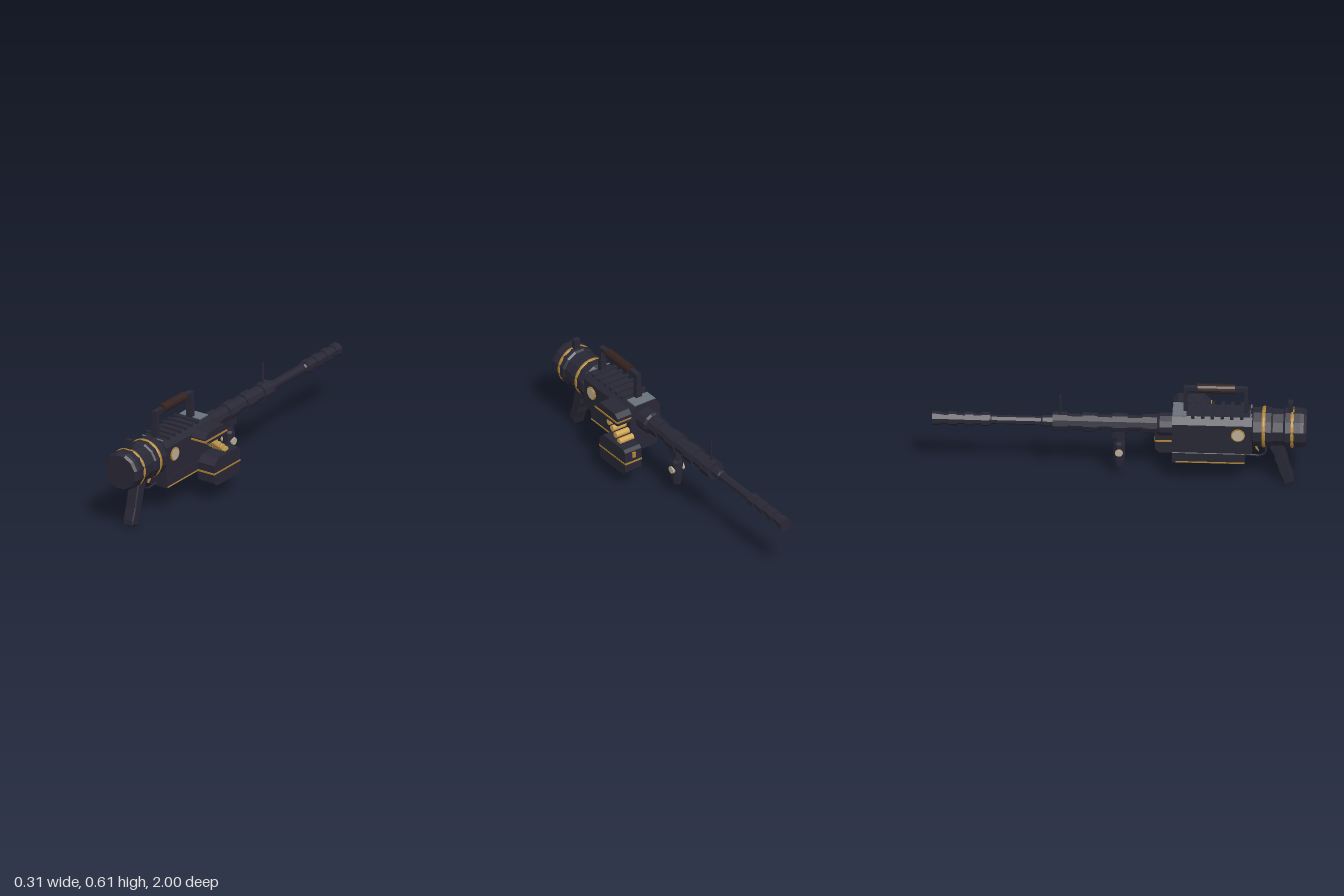
import * as THREE from 'three';

const mat = (name, color) => Object.assign(new THREE.MeshStandardMaterial({ color }), { name });

export function createModel() {
  const gunmetal = mat('gunmetal', 0x282735);
  const gold = mat('gold', 0xae8236);
  const brass = mat('brass', 0xd0a552);
  const brown = mat('brown grip', 0x332220);
  const steel = mat('steel', 0x69727c);
  const ivory = mat('ivory', 0xbbad95);

  const CX = -0.048, CY = 0.348; // barrel axis
  const root = new THREE.Group();

  // Adds a mesh, flat-faceted unless smooth
  const add = (name, geo, material, x = 0, y = 0, z = 0, smooth = false) => {
    const shaped = geo.index && !smooth ? geo.toNonIndexed() : geo;
    if (!smooth) shaped.computeVertexNormals();
    const mesh = new THREE.Mesh(shaped, material);
    mesh.name = name;
    mesh.position.set(x, y, z);
    root.add(mesh);
  };
  const box = (name, m, x0, x1, y0, y1, z0, z1) =>
    add(name, new THREE.BoxGeometry(x1 - x0, y1 - y0, z1 - z0), m, (x0 + x1) / 2, (y0 + y1) / 2, (z0 + z1) / 2);
  // Lathe about the barrel axis; profile is [radius to flat, z], z rising
  const turned = (name, m, profile, sides) => {
    const k = 1 / Math.cos(Math.PI / sides);
    const pts = profile.map(([r, z]) => new THREE.Vector2(r * k, z));
    add(name, new THREE.LatheGeometry(pts, sides, Math.PI / sides).rotateX(Math.PI / 2), m, CX, CY, 0);
  };
  const shape = (pts) => new THREE.Shape(pts.map(([a, b]) => new THREE.Vector2(a, b)));
  // Extrude an [x, y] profile along z
  const alongZ = (name, m, pts, z0, z1) =>
    add(name, new THREE.ExtrudeGeometry(shape(pts), { depth: z1 - z0, bevelEnabled: false }), m, 0, 0, z0);
  // Extrude a [z, y] profile along x, with optional bevel
  const alongX = (name, m, pts, x0, x1, b = 0) =>
    add(name, new THREE.ExtrudeGeometry(shape(pts), {
      depth: x1 - x0 - 2 * b, bevelEnabled: b > 0, bevelSize: b, bevelOffset: -b, bevelThickness: b, bevelSegments: 1,
    }).rotateY(-Math.PI / 2), m, x1 - b, 0, 0);

  // Rear drum and its round gold bands
  turned('rearDrum', gunmetal, [
    [0, 0.69], [0.09, 0.69], [0.105, 0.715], [0.105, 0.81], [0.098, 0.82], [0.098, 0.875],
    [0.1063, 0.885], [0.1063, 0.965], [0.103, 0.985], [0.093, 1], [0, 1],
  ], 12);
  for (const z of [0.77, 0.922]) {
    turned('drumBand', gold, [[0.09, z - 0.01], [0.107, z - 0.01], [0.11, z - 0.004],
      [0.11, z + 0.004], [0.107, z + 0.01], [0.09, z + 0.01]], 28);
  }
  box('rearSight', gunmetal, CX - 0.018, CX + 0.018, 0.44, 0.51, 0.9, 0.925);

  // Receiver with sloped shoulders
  alongZ('receiver', gunmetal, [
    [-0.145, 0.233], [0.049, 0.233], [0.049, 0.405], [0.014, 0.441], [-0.11, 0.441], [-0.145, 0.405],
  ], 0.283, 0.71);
  box('topPlate', steel, CX - 0.066, CX + 0.066, 0.438, 0.445, 0.284, 0.358);
  box('rearTopEdge', steel, CX - 0.066, CX + 0.066, 0.438, 0.444, 0.698, 0.706);
  for (let i = 0; i < 6; i++) {
    const z = 0.393 + i * 0.052;
    box('coolingRib', gunmetal, CX - 0.077, CX + 0.077, 0.434, 0.451, z - 0.009, z + 0.009);
  }
  // Lower housing and gold trim
  alongZ('lowerHousing', gunmetal, [
    [-0.125, 0.155], [0.028, 0.155], [0.028, 0.215], [0.006, 0.235], [-0.102, 0.235], [-0.125, 0.215],
  ], 0.283, 0.67);
  box('housingTrim', gold, -0.128, 0.031, 0.158, 0.165, 0.3, 0.668);

  // Side medallions
  for (const [x, s] of [[0.049, 1], [-0.145, -1]]) {
    const disc = (name, m, r, t) =>
      add(name, new THREE.CylinderGeometry(r, r, t, 12).rotateZ(Math.PI / 2), m, x + s * t / 2, 0.35, 0.635);
    disc('medallionRim', gold, 0.038, 0.006);
    disc('medallionFace', ivory, 0.032, 0.008);
  }

  // Barrel collar, ringed jacket, thin barrel and muzzle
  turned('barrelCollar', gunmetal, [[0, 0.2], [0.053, 0.2], [0.061, 0.215], [0.061, 0.285], [0, 0.285]], 12);
  turned('barrelJacket', gunmetal, [[0, -0.35], [0.041, -0.35], [0.041, 0.21], [0, 0.21]], 10);
  for (let i = 0; i < 4; i++) {
    const z = 0.163 - i * 0.16;
    turned('jacketRing', gunmetal, [[0.03, z - 0.04], [0.05, z - 0.04], [0.05, z + 0.04], [0.03, z + 0.04]], 10);
  }
  turned('barrel', gunmetal, [[0, -0.995], [0.028, -0.995], [0.028, -0.69], [0.023, -0.68], [0.023, -0.42],
    [0.028, -0.41], [0.028, -0.34], [0, -0.34]], 8);
  for (let i = 0; i < 4; i++) {
    const z = -0.977 + i * 0.0875;
    turned('muzzleRing', gunmetal, [[0, z - 0.023], [0.035, z - 0.023], [0.035, z + 0.023], [0, z + 0.023]], 8);
  }
  add('frontSight', new THREE.CylinderGeometry(0.006, 0.006, 0.12, 6), gunmetal, CX, 0.452, -0.317);

  // Carry handle
  for (const z of [0.352, 0.675]) {
    box('handlePost', gunmetal, CX - 0.016, CX + 0.016, 0.43, 0.588, z - 0.01, z + 0.01);
    box('handleFoot', gunmetal, CX - 0.018, CX + 0.018, 0.43, 0.51, z - 0.012, z + 0.012);
  }
  box('handleBar', gunmetal, CX - 0.014, CX + 0.014, 0.568, 0.59, 0.352, 0.675);
  add('handleGrip', new THREE.CylinderGeometry(0.026, 0.026, 0.2, 12).rotateX(Math.PI / 2), brown, CX, 0.58, 0.515);

  // Rear pistol grip with finger swells
  alongX('pistolGrip', gunmetal, [
    [0.88, 0], [0.932, 0.02], [0.928, 0.045], [0.905, 0.11], [0.893, 0.165], [0.868, 0.26],
    [0.795, 0.26], [0.803, 0.22], [0.823, 0.185], [0.828, 0.15], [0.843, 0.115], [0.85, 0.08], [0.868, 0.04],
  ], CX - 0.033, CX + 0.033, 0.006);
  // Trigger and guard
  const guard = new THREE.CurvePath();
  const gp = [[0.778, 0.25], [0.778, 0.183], [0.745, 0.164], [0.66, 0.17]].map(([z, y]) => new THREE.Vector3(CX, y, z));
  for (let i = 0; i < 3; i++) guard.add(new THREE.LineCurve3(gp[i], gp[i + 1]));
  add('triggerGuard', new THREE.TubeGeometry(guard, 12, 0.006, 6), gunmetal);
  alongX('trigger', gold, [[0.742, 0.194], [0.734, 0.215], [0.737, 0.245], [0.72, 0.245], [0.724, 0.212]], CX - 0.006, CX + 0.006);

  // Front grip with side knobs
  box('gripMount', gunmetal, CX - 0.03, CX + 0.03, 0.27, 0.315, -0.036, 0.03);
  const fg = [[0, 0.083], [0.024, 0.085], [0.03, 0.115], [0.034, 0.16], [0.034, 0.225], [0.029, 0.24], [0.029, 0.285]];
  add('frontGrip', new THREE.LatheGeometry(fg.map(([r, y]) => new THREE.Vector2(r, y)), 8, Math.PI / 8), gunmetal, CX, 0, -0.003);
  add('gripKnob', new THREE.CylinderGeometry(0.021, 0.021, 0.078, 10).rotateZ(Math.PI / 2), ivory, CX, 0.178, -0.003);

  // Ammunition box on the left side
  alongX('ammoBox', gunmetal, [
    [0.205, 0.105], [0.395, 0.105], [0.418, 0.125], [0.418, 0.225], [0.385, 0.26],
    [0.2, 0.26], [0.183, 0.245], [0.183, 0.125],
  ], 0.05, 0.156);
  box('ammoBoxBand', gold, 0.047, 0.157, 0.173, 0.183, 0.18, 0.421);
  box('ammoBoxLatch', gold, 0.092, 0.113, 0.207, 0.238, 0.173, 0.186);

  // Feed tray and the belt of rounds leading into it
  alongX('feedTray', gunmetal, [
    [0.28, 0.36], [0.44, 0.36], [0.478, 0.382], [0.478, 0.395], [0.445, 0.427], [0.305, 0.427], [0.28, 0.405],
  ], 0.045, 0.137);
  box('feedTrayBand', gold, 0.045, 0.141, 0.378, 0.387, 0.278, 0.484);
  const rod = (name, m, r, length, y, z) =>
    add(name, new THREE.CylinderGeometry(r, r, length, 12).rotateZ(Math.PI / 2), m, 0.088, y, z, true);
  for (let i = 0; i < 4; i++) {
    const y = 0.342 - i * 0.025, z = 0.367 - i * 0.031;
    rod('round', brass, 0.0175, 0.09, y, z);
    rod('beltLink', gunmetal, 0.008, 0.08, y - 0.0125, z - 0.002);
  }
  return root;
}
